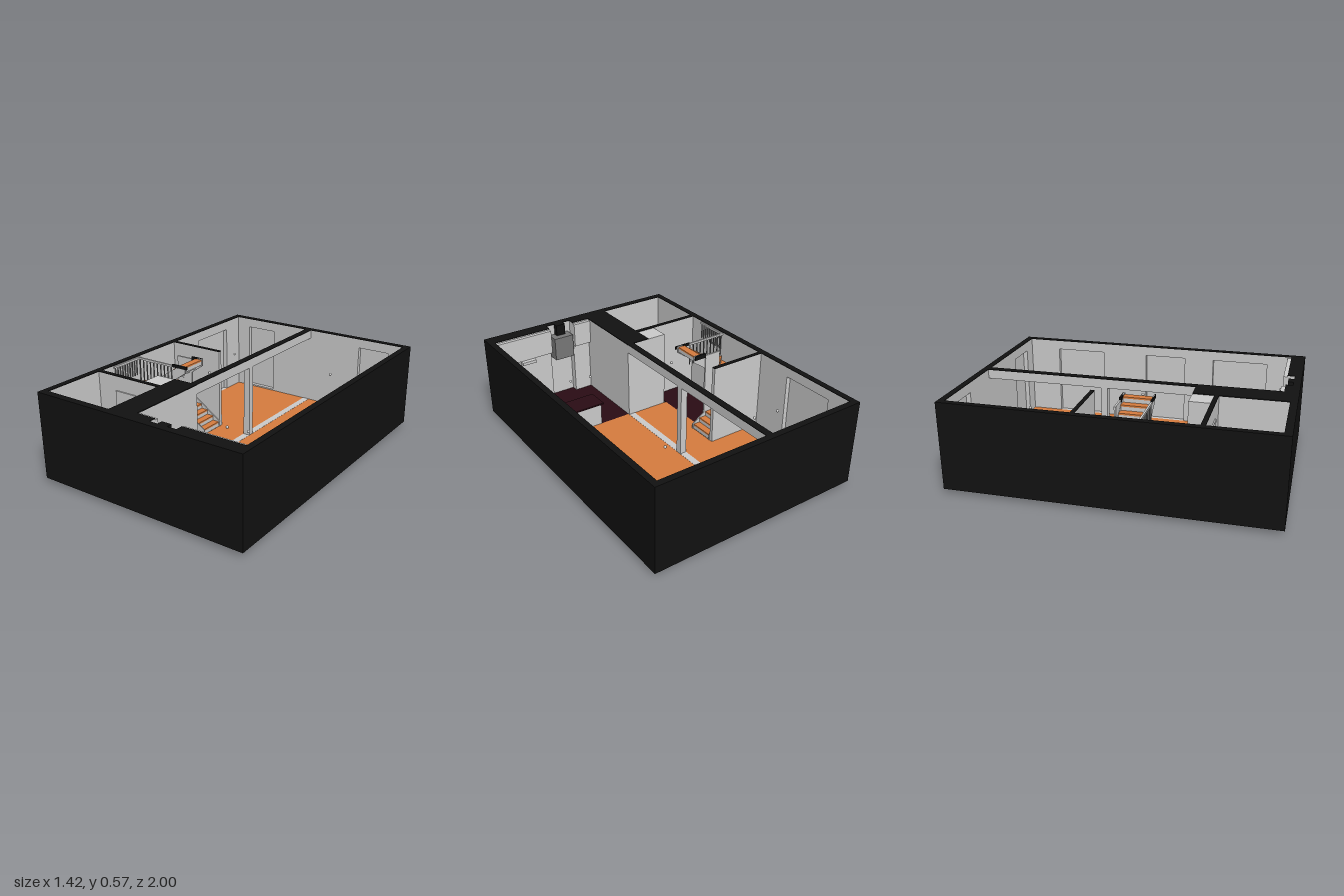
import * as THREE from 'three';

const paint = (color) => new THREE.MeshStandardMaterial({ color, side: THREE.DoubleSide });
const GREY = paint(0xcccccc), BLACK = paint(0x111111), DARK = paint(0x777777);
const WOOD = paint(0xd67c3e), TILE = paint(0x2a0c14);
const BASE = 0.025, TOP = 0.575, FLOOR = 0.04;

export function createModel() {
  const model = new THREE.Group();

  const add = (name, geometry, material) => {
    const mesh = new THREE.Mesh(geometry, material);
    mesh.name = name;
    model.add(mesh);
    return mesh;
  };
  // Box given by its limits
  const box = (name, x0, x1, y0, y1, z0, z1, material = GREY) => {
    const mesh = add(name, new THREE.BoxGeometry(x1 - x0, y1 - y0, z1 - z0), material);
    mesh.position.set((x0 + x1) / 2, (y0 + y1) / 2, (z0 + z1) / 2);
    return mesh;
  };
  // Grey wall with a black cut top
  const wall = (name, x0, x1, z0, z1, y0 = BASE) => {
    box(name, x0, x1, y0, TOP - 0.004, z0, z1);
    box(name + 'Cap', x0, x1, TOP - 0.004, TOP, z0, z1, BLACK);
  };
  const polygon = (points) => new THREE.Shape(points.map(([x, y]) => new THREE.Vector2(x, y)));
  const extrude = (shape, depth) => new THREE.ExtrudeGeometry(shape, { depth, bevelEnabled: false });

  // Black outer skin
  for (const s of [-1, 1]) {
    box('outerSideSkin', s * 0.708 - 0.002, s * 0.708 + 0.002, BASE, TOP, -1, 1, BLACK);
    box('outerEndSkin', -0.706, 0.706, BASE, TOP, s * 0.998 - 0.002, s * 0.998 + 0.002, BLACK);
    box('sideWallCap', s * 0.688 - 0.018, s * 0.688 + 0.018, TOP - 0.004, TOP, -0.996, 0.996, BLACK);
  }
  box('backWallCap', -0.67, 0.67, TOP - 0.004, TOP, -0.996, -0.96, BLACK);
  wall('frontWall', -0.67, 0.67, 0.955, 0.996);

  // Inner wall lining with recessed doors and windows: [start, end, bottom, top]
  const lining = (name, half, openings, x, z, angle) => {
    const y1 = TOP - 0.004;
    const shape = polygon([[-half, BASE], [half, BASE], [half, y1], [-half, y1]]);
    const group = new THREE.Group();
    group.name = name;
    for (const [a, b, lo, hi] of openings) {
      shape.holes.push(polygon([[a, lo], [a, hi], [b, hi], [b, lo]]));
      const panel = new THREE.Mesh(new THREE.BoxGeometry(b - a, hi - lo, 0.006), GREY);
      panel.position.set((a + b) / 2, (lo + hi) / 2, 0.003);
      panel.name = 'recessedPanel';
      group.add(panel);
    }
    const face = new THREE.Mesh(extrude(shape, 0.036), GREY);
    face.name = name + 'Lining';
    group.add(face);
    group.position.set(x, 0, z);
    group.rotation.y = angle;
    model.add(group);
  };
  lining('backWall', 0.67, [[-0.57, -0.35, 0.05, 0.51], [0.35, 0.57, 0.05, 0.51]], 0, -0.996, 0);
  lining('leftSideWall', 0.996,
    [[-0.75, -0.41, FLOOR, 0.51], [-0.1, 0.18, FLOOR, 0.51], [0.38, 0.75, 0.185, 0.51]],
    0.706, 0, -Math.PI / 2);
  lining('rightSideWall', 0.996, [[0.45, 0.8, FLOOR, 0.51]], -0.706, 0, Math.PI / 2);

  // Floors
  const floor = (name, x0, x1, z0, z1, material) =>
    box(name, x0, x1, FLOOR - 0.006, FLOOR, z0, z1, material);
  floor('woodFloorLarge', -0.035, 0.67, -0.96, 0.4, WOOD);
  floor('woodFloorBack', -0.67, -0.08, -0.96, -0.2, WOOD);
  floor('woodFloorPassage', -0.29, -0.08, -0.2, 0, WOOD);
  floor('woodFloorHall', -0.345, -0.08, 0, 0.39, WOOD);
  floor('kitchenFloor', -0.035, 0.67, 0.4, 0.955, TILE);
  floor('hallFloor', -0.67, -0.345, 0, 0.52, TILE);
  box('floorTrench', -0.03, 0.22, 0.01, FLOOR - 0.006, 0.535, 0.545);

  // Dividing beam on its column, with a sill below
  wall('dividingBeam', -0.08, -0.035, -0.96, 0.39, 0.515);
  box('dividingSill', -0.08, -0.035, BASE, FLOOR + 0.001, -0.96, 0.39);
  box('column', -0.08, -0.035, FLOOR, 0.515, -0.205, -0.165);

  // Hollow shaft, cupboard and hall partition
  box('shaftCap', -0.2, -0.035, TOP - 0.006, TOP, 0.39, 0.956, BLACK);
  box('shaftRightWall', -0.2, -0.185, BASE, TOP - 0.006, 0.39, 0.955);
  box('shaftLeftWall', -0.055, -0.035, BASE, TOP - 0.006, 0.39, 0.955);
  box('shaftBackWall', -0.185, -0.055, BASE, TOP - 0.006, 0.39, 0.405);
  box('cupboard', -0.33, -0.2, FLOOR, TOP - 0.004, 0.39, 0.52);
  wall('hallPartition', -0.67, -0.2, 0.52, 0.548);
  box('hallDoor', -0.53, -0.33, FLOOR, 0.48, 0.548, 0.556);
  wall('stairWall', -0.67, -0.29, -0.205, -0.18);

  // Winding staircase: straight run, half turn, straight run
  const rise = 0.033, going = 0.048, turnX = -0.485;
  let step = 0;
  const tread = (points) => {
    step++;
    const shape = polygon(points.map(([x, z]) => [x, -z]));
    const y = FLOOR + step * rise;
    [['tread', 0.01, y - 0.01, WOOD], ['riser', rise - 0.008, y - rise - 0.002, GREY]].forEach(
      ([name, depth, base, material]) => {
        const mesh = add(name, extrude(shape, depth), material);
        mesh.rotation.x = -Math.PI / 2;
        mesh.position.y = base;
      });
  };
  const run = (start, dir, z0, z1) => {
    for (let i = 0; i < 4; i++) {
      const a = start + dir * i * going, b = a + dir * going;
      tread([[a, z0], [b, z0], [b, z1], [a, z1]]);
    }
  };
  run(-0.293, -1, -0.178, -0.006);
  const rim = (t) => {
    const c = Math.cos(t), s = Math.sin(t);
    const r = Math.min(0.18 / Math.max(Math.abs(c), 1e-6), 0.178 / Math.max(Math.abs(s), 1e-6));
    return [turnX + c * r, s * r];
  };
  for (let i = 0; i < 8; i++) {
    const a = -Math.PI / 2 - i * Math.PI / 8, b = a - Math.PI / 8;
    const points = [[turnX, 0], rim(a), rim(b)];
    const corner = Math.abs(Math.cos(a)) < 0.71 ? -1 : 1;
    const cornerAngle = corner < 0 ? -Math.PI * 0.75 : -Math.PI * 1.25;
    if (cornerAngle < a - 0.01 && cornerAngle > b + 0.01) points.splice(2, 0, rim(cornerAngle));
    tread(points);
  }
  run(turnX, 1, 0.006, 0.178);

  // Sloping side boards; the lower pair dips under the floor
  const lower = [[-0.285, 0], [-0.33, 0.025], [-0.485, 0.14], [-0.485, 0.21], [-0.285, 0.075]];
  const upper = [[-0.485, 0.39], [-0.285, 0.53], [-0.285, TOP], [-0.32, TOP], [-0.485, 0.47]];
  for (const [points, z] of [[lower, -0.18], [lower, -0.006], [upper, 0], [upper, 0.178]])
    add('stairStringer', extrude(polygon(points), 0.007), GREY).position.z = z;
  box('newelWall', -0.49, -0.375, FLOOR, 0.56, -0.006, 0.006);
  box('newelCap', -0.375, -0.29, TOP - 0.03, TOP, -0.007, 0.007, BLACK);
  box('landingEdge', -0.385, -0.27, TOP - 0.02, TOP, 0.181, 0.189, BLACK);

  // Balustrades
  box('handrail', -0.67, -0.385, 0.555, 0.568, 0.182, 0.194);
  box('sideHandrail', -0.67, -0.66, 0.555, 0.568, 0.194, 0.42);
  for (let i = 0; i < 10; i++) {
    const x = -0.655 + i * 0.029, z = 0.21 + i * 0.022;
    box('baluster', x - 0.003, x + 0.003, 0.41, 0.555, 0.185, 0.191, DARK);
    box('sideBaluster', -0.668, -0.662, 0.45, 0.555, z - 0.003, z + 0.003, DARK);
  }

  // Kitchen: island, counter, wall units and hood
  box('islandBase', 0.18, 0.42, FLOOR, 0.19, 0.4, 0.53);
  box('islandTop', 0.165, 0.43, 0.19, 0.2, 0.39, 0.54, TILE);
  for (const [x0, x1] of [[-0.035, 0.09], [0.27, 0.67]]) {
    wall('kitchenFrontWall', x0, x1, 0.91, 0.955);
    box('wallUnit', x0, x1, 0.4, 0.565, 0.885, 0.91);
  }
  box('counterBase', 0.42, 0.67, FLOOR, 0.235, 0.83, 0.91);
  box('counterTop', 0.41, 0.67, 0.235, 0.245, 0.82, 0.91, TILE);
  box('wallUnitShelf', 0.41, 0.51, 0.38, 0.4, 0.855, 0.89);
  box('hood', 0.11, 0.25, 0.34, 0.5, 0.875, 0.955, DARK);
  box('hoodDuct', 0.145, 0.21, 0.5, TOP, 0.92, 0.955, BLACK);

  // Small hanging lights
  const lights = [[-0.46, 0.41, -0.605], [-0.28, 0.42, -0.6], [0.34, 0.43, -0.565],
    [-0.17, 0.53, 0.085], [0.225, 0.39, 0.45], [0.37, 0.4, 0.45]];
  for (const p of lights) add('light', new THREE.SphereGeometry(0.009, 12, 8), GREY).position.set(...p);

  return model;
}
